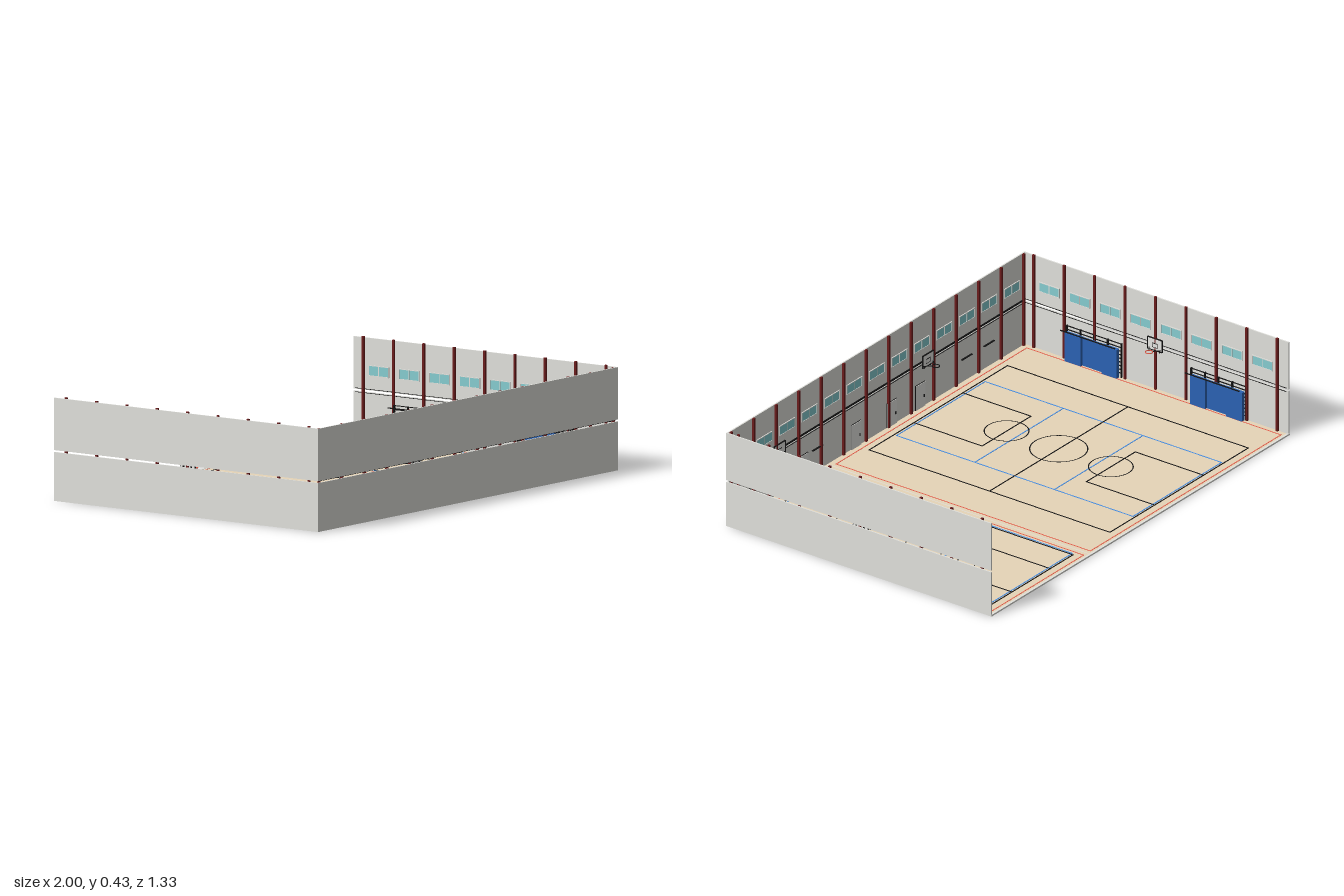
import * as THREE from 'three';

const paint = (name, color) => Object.assign(new THREE.MeshStandardMaterial({ color }), { name });

export function createModel() {
  const wallGrey = paint('wall grey', 0xe1e1dc);
  const wood = paint('floor wood', 0xe8d6b9);
  const black = paint('black', 0x141414);
  const lineBlue = paint('line blue', 0x4795f2);
  const lineRed = paint('line red', 0xf5634f);
  const maroon = paint('column maroon', 0x6b1c1c);
  const glass = paint('window teal', 0x86cdd0);
  const matBlue = paint('mat blue', 0x2b62b4);
  const white = paint('off white', 0xefefeb);

  const root = new THREE.Group();
  root.name = 'sportsHall';
  const FLOOR = 0.006, TOP = 0.42;

  function group(name, parent = root) {
    const g = new THREE.Group();
    g.name = name;
    parent.add(g);
    return g;
  }
  // Box given by its minimum and maximum corners
  function box(parent, name, mat, x0, x1, y0, y1, z0, z1) {
    const m = new THREE.Mesh(new THREE.BoxGeometry(x1 - x0, y1 - y0, z1 - z0), mat);
    m.position.set((x0 + x1) / 2, (y0 + y1) / 2, (z0 + z1) / 2);
    m.name = name;
    parent.add(m);
  }

  // Floor in two halls
  box(root, 'largeHallFloor', wood, -0.995, 0.328, 0, FLOOR, -0.66, 0.66);
  box(root, 'smallHallFloor', wood, 0.332, 0.995, 0, FLOOR, -0.66, 0.66);
  box(root, 'floorSeam', wallGrey, 0.328, 0.332, 0.001, FLOOR, -0.66, 0.66);
  box(root, 'backSill', wallGrey, -1, 1, 0, FLOOR + 0.001, -0.667, -0.657);

  // Painted court lines
  const W = 0.0025;
  function line(g, mat, x0, z0, x1, z1, y) {
    box(g, 'courtLine', mat, Math.min(x0, x1) - W, Math.max(x0, x1) + W, FLOOR, y,
      Math.min(z0, z1) - W, Math.max(z0, z1) + W);
  }
  function frame(g, mat, x0, x1, z0, z1, y) {
    for (const x of [x0, x1]) line(g, mat, x, z0, x, z1, y);
    for (const z of [z0, z1]) line(g, mat, x0, z, x1, z, y);
  }
  function circle(g, x, z, r) {
    const m = new THREE.Mesh(new THREE.RingGeometry(r - W, r + W, 48), black);
    m.rotation.x = -Math.PI / 2;
    m.position.set(x, FLOOR + 0.0016, z);
    m.name = 'courtCircle';
    g.add(m);
  }
  function court(name, c) {
    const g = group(name);
    const yRed = FLOOR + 0.0006, yBlue = FLOOR + 0.001, yBlack = FLOOR + 0.0014;
    frame(g, lineRed, ...c.red, -0.645, 0.632, yRed);
    frame(g, lineBlue, ...c.blue, -0.6, 0.588, yBlue);
    for (const z of [-0.205, 0.195]) line(g, lineBlue, c.blue[0], z, c.blue[1], z, yBlue);
    frame(g, black, ...c.outer, -0.61, 0.6, yBlack);
    line(g, black, c.outer[0], -0.005, c.outer[1], -0.005, yBlack);
    circle(g, c.mid, -0.005, c.radius);
    for (const [end, key] of [[-0.61, -0.267], [0.6, 0.257]]) {
      for (const x of c.key) line(g, black, x, end, x, key, yBlack);
      line(g, black, c.key[0], key, c.key[1], key, yBlack);
      circle(g, c.mid, key, 0.09);
    }
  }
  court('largeCourt', { red: [-0.97, 0.308], blue: [-0.632, -0.038], outer: [-0.798, 0.13],
    key: [-0.498, -0.17], mid: -0.334, radius: 0.117 });
  court('smallCourt', { red: [0.353, 0.968], blue: [0.369, 0.947], outer: [0.378, 0.94],
    key: [0.53, 0.787], mid: 0.66, radius: 0.09 });

  // Each wall is laid out along local x, with the inside facing local +z
  const T = 0.006;
  function wall(name, length, columns, columnTop) {
    const g = group(name);
    const h = length / 2;
    box(g, 'lowerWall', wallGrey, -h, h, 0, 0.199, 0, T);
    box(g, 'upperWall', wallGrey, -h, h, 0.207, TOP, 0, T);
    for (const y of [0.194, 0.21]) box(g, 'wallRail', black, -h + 0.01, h - 0.01, y, y + 0.002, T, T + 0.002);
    columns.forEach((x, i) => {
      box(g, 'column', maroon, x - 0.005, x + 0.005, 0, columnTop, T, T + 0.009);
      if (i === columns.length - 1) return;
      // Window with frame and mullions in each bay
      const c = (x + columns[i + 1]) / 2, w = 0.05;
      box(g, 'windowGlass', glass, c - w, c + w, 0.268, 0.308, T, T + 0.002);
      for (const k of [-1, 0, 1]) {
        box(g, 'windowMullion', wallGrey, c + k * w - 0.0015, c + k * w + 0.0015, 0.266, 0.31, T, T + 0.004);
      }
      for (const y of [0.266, 0.307]) box(g, 'windowFrame', wallGrey, c - w, c + w, y, y + 0.003, T, T + 0.004);
    });
    return g;
  }

  // Basketball hoop: board by the wall, arms converging on the ring
  function hoop(parent, x, ringMat) {
    const g = group('basketballHoop', parent);
    g.position.x = x;
    box(g, 'backboard', white, -0.036, 0.036, 0.183, 0.237, 0.012, 0.015);
    for (const y of [0.182, 0.235]) box(g, 'backboardEdge', black, -0.037, 0.037, y, y + 0.003, 0.011, 0.017);
    for (const s of [-1, 1]) {
      box(g, 'backboardEdge', black, s * 0.036 - 0.0015, s * 0.036 + 0.0015, 0.182, 0.238, 0.011, 0.017);
      box(g, 'wallBracket', black, s * 0.02 - 0.002, s * 0.02 + 0.002, 0.175, 0.232, T, 0.012);
      const path = new THREE.LineCurve3(new THREE.Vector3(s * 0.03, 0.19, 0.015), new THREE.Vector3(s * 0.008, 0.192, 0.042));
      const arm = new THREE.Mesh(new THREE.TubeGeometry(path, 1, 0.002, 6), black);
      arm.name = 'ringArm';
      g.add(arm);
    }
    box(g, 'targetSquare', black, -0.014, 0.014, 0.195, 0.216, 0.015, 0.016);
    box(g, 'targetCentre', white, -0.011, 0.011, 0.198, 0.213, 0.015, 0.0165);
    const ring = new THREE.Mesh(new THREE.TorusGeometry(0.015, 0.002, 6, 20), ringMat);
    ring.rotation.x = Math.PI / 2;
    ring.position.set(0, 0.192, 0.054);
    ring.name = 'hoopRing';
    g.add(ring);
  }

  // Climbing bars with padded mats and a front rail
  function wallBars(parent, x0, x1, mats) {
    const g = group('wallBars', parent);
    for (let i = 0; i <= 4; i++) {
      const x = x0 + (x1 - x0) * i / 4;
      box(g, 'barPost', black, x - 0.002, x + 0.002, FLOOR, 0.16, T, T + 0.01);
    }
    for (let y = 0.025; y < 0.16; y += 0.0165) box(g, 'barRung', black, x0, x1, y, y + 0.003, T + 0.005, T + 0.009);
    box(g, 'frontRail', black, x0, x1, 0.152, 0.156, 0.053, 0.057);
    const ends = mats.flat();
    box(g, 'matBacking', matBlue, Math.min(...ends), Math.max(...ends), FLOOR, 0.135, 0.0165, 0.02);
    for (const [a, b] of mats) box(g, 'mat', matBlue, a, b, FLOOR, 0.135, 0.014, 0.032);
  }

  // Front wall, whose local x runs opposite to the hall's x
  const frontColumns = [];
  for (let i = 0; i < 14; i++) frontColumns.push(-0.98 + i * 0.1508);
  const front = wall('frontWall', 2, frontColumns, TOP);
  front.rotation.y = Math.PI;
  front.position.z = 0.666;
  box(front, 'gapBeam', black, -0.99, 0.99, 0.204, 0.209, T, T + 0.003);
  hoop(front, 0.334, black);
  hoop(front, -0.66, black);
  for (const x of [0.494, 0.14, -0.1, -0.29]) {
    const door = group('door', front);
    door.position.x = -x;
    box(door, 'doorFrame', black, -0.0325, 0.0325, FLOOR, 0.1165, T, T + 0.003);
    box(door, 'doorPanel', white, -0.031, 0.031, FLOOR, 0.115, T, T + 0.005);
    box(door, 'doorHandle', black, 0.018, 0.022, 0.05, 0.062, T, T + 0.009);
  }
  for (const x of [0.83, 0.4, -0.6, -0.75]) box(front, 'coatRail', black, -x - 0.035, -x + 0.035, 0.108, 0.111, T, T + 0.008);

  // Side walls, facing each other
  const sideColumns = [];
  for (let i = -4; i <= 4; i++) sideColumns.push(i * 0.153);
  const sideMats = {
    leftWall: [[-0.4, -0.325], [-0.31, -0.187], [0.22, 0.305], [0.315, 0.41]],
    rightWall: [[-0.45, -0.37], [-0.265, -0.19], [0.18, 0.255], [0.36, 0.44]],
  };
  for (const [name, s] of [['leftWall', 1], ['rightWall', -1]]) {
    const side = wall(name, 1.33, sideColumns, TOP + 0.005);
    side.rotation.y = -s * Math.PI / 2;
    side.position.x = s;
    hoop(side, 0, lineRed);
    // Local x equals s times the hall's z
    const mats = sideMats[name].map(([a, b]) => (s > 0 ? [a, b] : [-b, -a]));
    for (const [a, b] of [[-0.455, -0.18], [0.17, 0.445]]) {
      const [x0, x1] = s > 0 ? [a, b] : [-b, -a];
      wallBars(side, x0, x1, mats.filter(m => m[0] * x0 > 0));
    }
  }

  return root;
}
